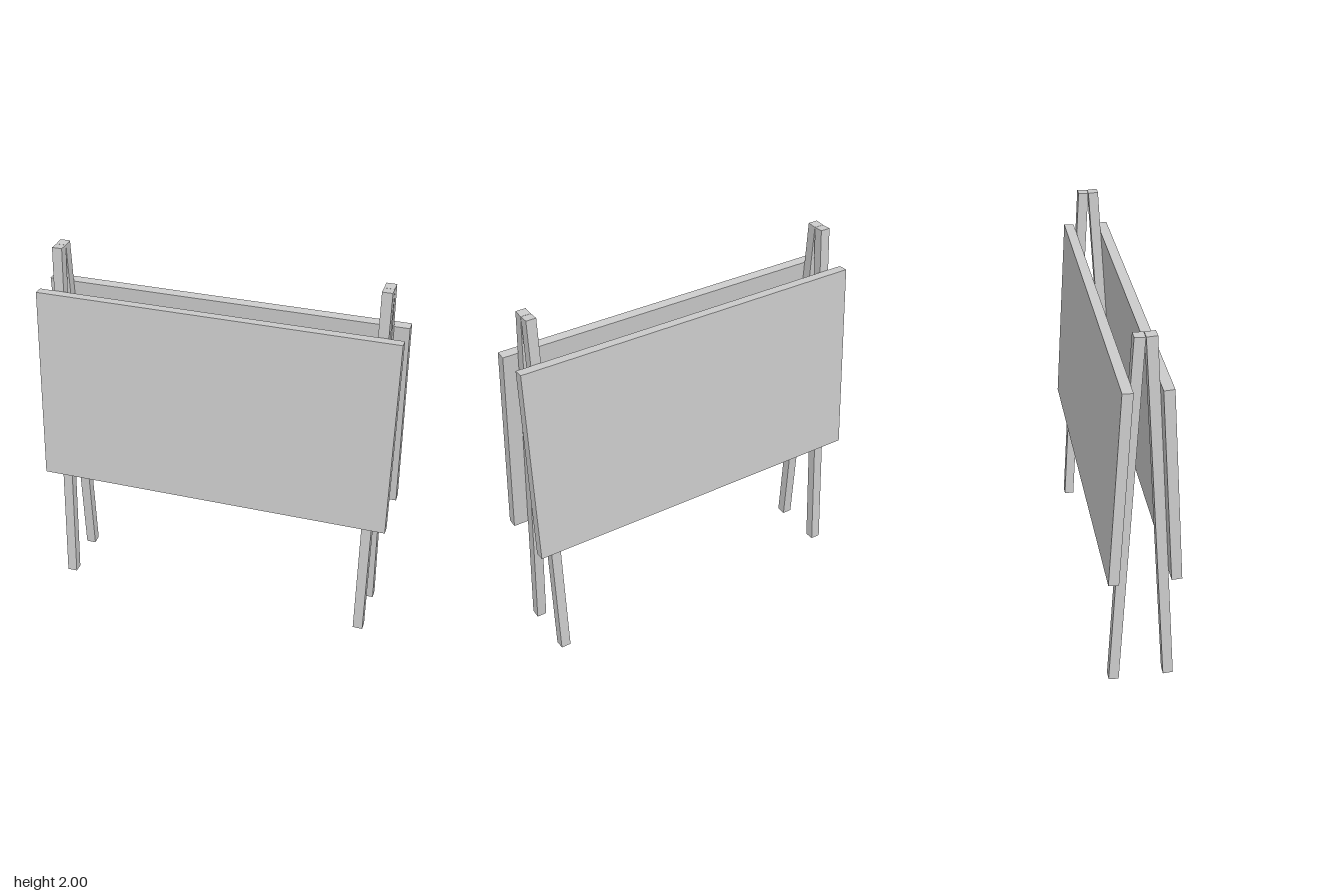
import * as THREE from 'three';

export function createModel() {
  const model = new THREE.Group();
  model.name = 'sandwichBoard';
  const material = new THREE.MeshStandardMaterial({ color: 0xcccccc, flatShading: true });
  const lean = 0.0583; // tilt of each half, radians
  const thickness = 0.053;

  function addBox(parent, name, size, position) {
    const mesh = new THREE.Mesh(new THREE.BoxGeometry(...size), material);
    mesh.name = name;
    mesh.position.set(...position);
    parent.add(mesh);
  }

  // Two mirrored halves, leaning together at the top
  for (const [half, side] of [['front', 1], ['back', -1]]) {
    const frame = new THREE.Group();
    frame.name = half + 'Frame';
    frame.position.set(0, 1, side * 0.0855);
    frame.rotation.x = -side * lean;
    model.add(frame);

    // Legs
    for (const [hand, x] of [['Left', 0.851], ['Right', -0.851]]) {
      addBox(frame, half + hand + 'Leg', [thickness, 2.0, thickness], [x, 0, 0]);
    }
    // Panel fixed to the outer face of the legs
    addBox(frame, half + 'Panel', [1.914, 1.079, thickness], [0, 0.2235, side * thickness]);
  }
  return model;
}
